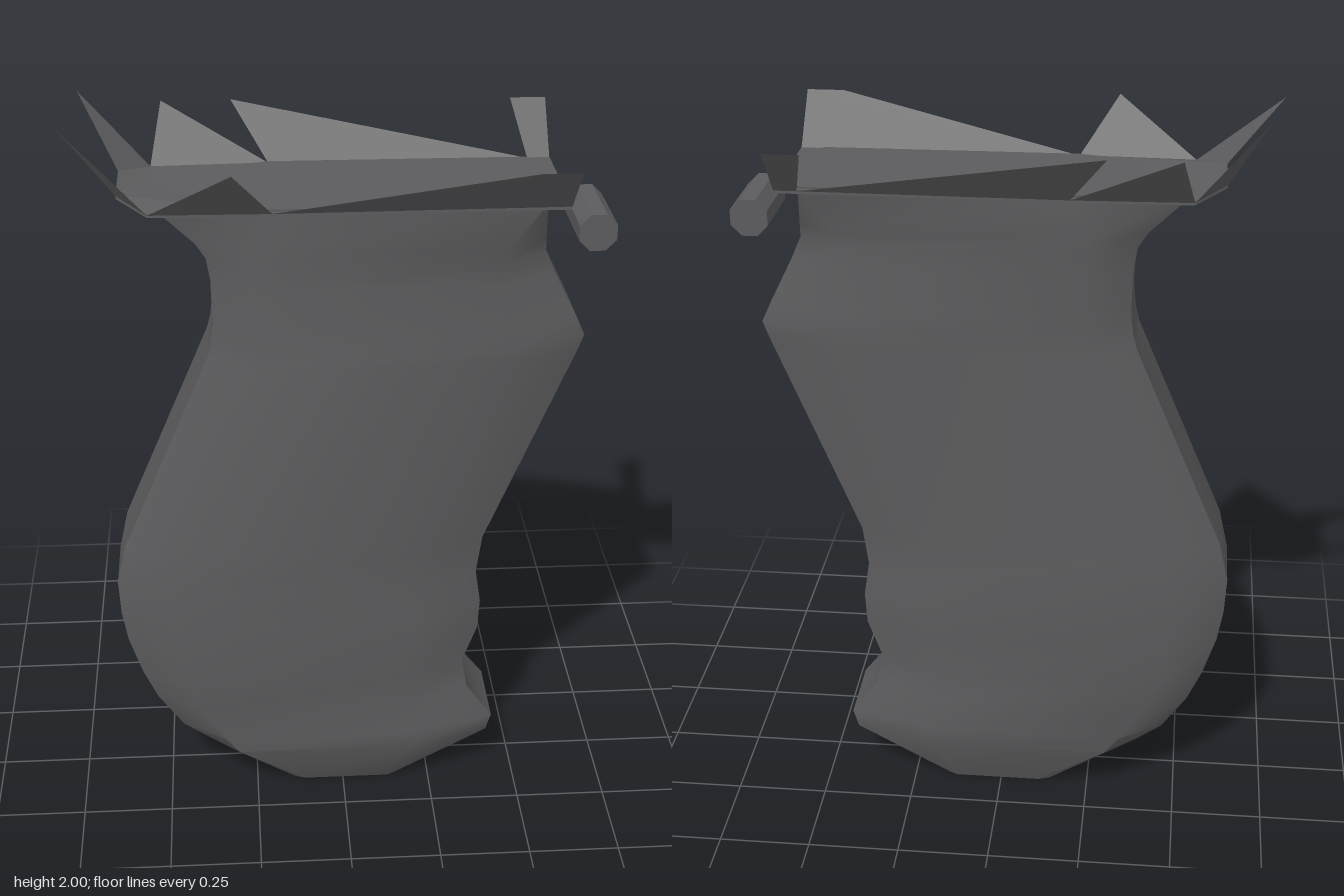
import * as THREE from 'three';
import { toCreasedNormals } from 'three/addons/utils/BufferGeometryUtils.js';

// Horizontal sections of the handle, bottom to top:
// y, back edge x, back chamfer x, front chamfer x, front edge x, side z, back edge z, front edge z
const SECTIONS = [
  [0.0, -0.14, -0.11, 0.13, 0.15, 0.13, 0.12, 0.12],
  [0.14, -0.39, -0.3, 0.2, 0.42, 0.18, 0.1, 0.11],
  [0.19, -0.46, -0.34, 0.2, 0.435, 0.18, 0.1, 0.11],
  [0.29, -0.53, -0.41, 0.17, 0.36, 0.18, 0.1, 0.1],
  [0.38, -0.57, -0.45, 0.17, 0.345, 0.18, 0.1, 0.1],
  [0.49, -0.605, -0.47, 0.2, 0.385, 0.18, 0.1, 0.1],
  [0.58, -0.62, -0.48, 0.21, 0.39, 0.18, 0.1, 0.1],
  [0.68, -0.625, -0.48, 0.2, 0.375, 0.18, 0.1, 0.1],
  [0.79, -0.6, -0.46, 0.21, 0.39, 0.18, 0.1, 0.1],
  [1.36, -0.355, -0.24, 0.43, 0.624, 0.18, 0.1, 0.1],
  [1.4, -0.345, -0.23, 0.44, 0.638, 0.18, 0.1, 0.1],
  [1.46, -0.338, -0.23, 0.42, 0.61, 0.18, 0.1, 0.1],
  [1.58, -0.34, -0.23, 0.4, 0.55, 0.18, 0.1, 0.1],
  [1.64, -0.35, -0.23, 0.4, 0.524, 0.18, 0.1, 0.1],
  [1.68, -0.375, -0.23, 0.42, 0.52, 0.18, 0.1, 0.12],
  [1.79, -0.49, -0.18, 0.5, 0.51, 0.18, 0.1, 0.175],
];

function loft(sections) {
  const pos = [], index = [], n = 8;
  for (const [y, xb, xbc, xfc, xf, zs, zb, zf] of sections) {
    const half = [[xb, zb], [xbc, zs], [xfc, zs], [xf, zf]];
    for (const [x, z] of half) pos.push(x, y, z);
    for (const [x, z] of half.reverse()) pos.push(x, y, -z);
  }
  for (let r = 0; r < sections.length - 1; r++) {
    for (let i = 0; i < n; i++) {
      const a = r * n + i, b = r * n + (i + 1) % n;
      index.push(a, b, b + n, a, b + n, a + n);
    }
  }
  const top = (sections.length - 1) * n;
  for (let i = 1; i < n - 1; i++) {
    index.push(0, i + 1, i);
    index.push(top, top + i, top + i + 1);
  }
  const g = new THREE.BufferGeometry();
  g.setAttribute('position', new THREE.Float32BufferAttribute(pos, 3));
  g.setIndex(index);
  return toCreasedNormals(g, 0.7);
}

// Horizontal plate from half an outline, mirrored across z = 0
function plate(half, y, height) {
  const outline = [...half, ...half.map(([x, z]) => [x, -z]).reverse()];
  const shape = new THREE.Shape(outline.map(([x, z]) => new THREE.Vector2(x, z)));
  const g = new THREE.ExtrudeGeometry(shape, { depth: height, bevelEnabled: false });
  return g.rotateX(-Math.PI / 2).translate(0, y, 0);
}

// Single flat fan of corners
function sheet(corners) {
  const pos = [];
  for (let i = 1; i < corners.length - 1; i++) pos.push(...corners[0], ...corners[i], ...corners[i + 1]);
  const g = new THREE.BufferGeometry();
  g.setAttribute('position', new THREE.Float32BufferAttribute(pos, 3));
  g.computeVertexNormals();
  return g;
}

export function createModel() {
  const model = new THREE.Group();
  model.name = 'gripHandle';
  const grey = new THREE.MeshStandardMaterial({ color: 0x5c5c5e });
  grey.name = 'dark grey';
  const thinGrey = grey.clone();
  thinGrey.name = 'dark grey sheet';
  thinGrey.side = THREE.DoubleSide;

  const add = (name, geometry, material = grey) => {
    const mesh = new THREE.Mesh(geometry, material);
    mesh.name = name;
    model.add(mesh);
    return mesh;
  };

  add('gripBody', loft(SECTIONS));

  // Rim round the top, its back lip tilted up
  const rim = plate([[-0.57, 0.09], [-0.49, 0.175], [-0.18, 0.185], [0.57, 0.182]], 1.782, 0.01);
  const p = rim.attributes.position;
  for (let i = 0; i < p.count; i++) if (p.getX(i) < -0.5) p.setY(i, p.getY(i) + 0.02);
  rim.computeVertexNormals();
  add('topRim', rim);
  add('topPanel', plate([[-0.49, 0.1], [-0.18, 0.178], [0.5, 0.172], [0.515, 0.165]], 1.785, 0.013));

  // Torn flaps flaring out from the rim
  const y = 1.79;
  const flaps = {
    leftRearFlap: [[-0.49, y, 0.18], [-0.18, y, 0.187], [-0.28, 1.93, 0.3]],
    leftLongFlap: [[-0.18, y, 0.187], [0.57, y, 0.182], [0.57, 1.92, 0.3], [0.47, 1.92, 0.3]],
    rightRearFlap: [[-0.49, y, -0.18], [-0.18, y, -0.19], [-0.46, 1.93, -0.3]],
    rightLongFlap: [[-0.18, y, -0.19], [0.51, y, -0.185], [-0.275, 1.93, -0.3]],
    rightFrontFlap: [[0.51, y, -0.185], [0.57, y, -0.185], [0.57, 1.92, -0.3], [0.475, 1.92, -0.3]],
    leftBackSpike: [[-0.49, y, 0.18], [-0.57, 1.81, 0.09], [-0.71, 1.99, 0.09]],
    rightBackSpike: [[-0.49, y, -0.18], [-0.57, 1.81, -0.09], [-0.67, 2.0, -0.178]],
  };
  for (const [name, corners] of Object.entries(flaps)) add(name, sheet(corners), thinGrey);

  // Octagonal pivot pin ahead of the handle
  const pin = new THREE.CylinderGeometry(0.053, 0.053, 0.225, 8);
  pin.rotateY(Math.PI / 8).rotateX(Math.PI / 2);
  add('pivotPin', toCreasedNormals(pin, 0.5)).position.set(0.655, 1.69, 0);

  return model;
}
